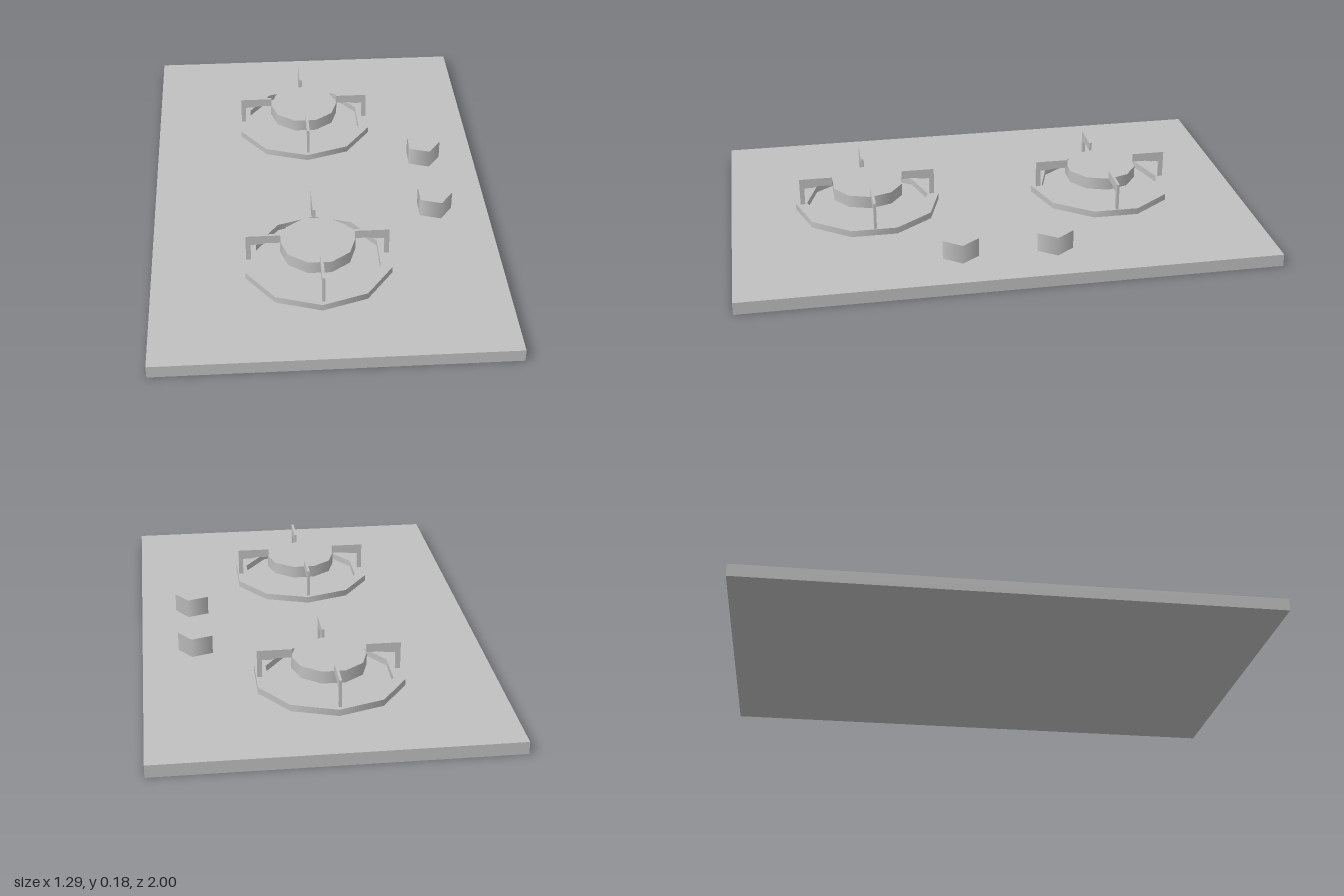
import * as THREE from 'three';

const greyMetal = new THREE.MeshStandardMaterial({ color: 0xc0c0c0 });
greyMetal.name = 'greyMetal';
const greyOpenMetal = new THREE.MeshStandardMaterial({ color: 0xc0c0c0, side: THREE.DoubleSide });
greyOpenMetal.name = 'greyOpenMetal';

const PLATE_TOP = 0.047;

function part(name, geometry, parent, x = 0, y = 0, z = 0, material = greyMetal) {
  const mesh = new THREE.Mesh(geometry, material);
  mesh.name = name;
  mesh.position.set(x, y, z);
  parent.add(mesh);
  return mesh;
}

// Bent pan support: upright leg with a horizontal arm reaching to the cap
function supportGeometry() {
  const shape = new THREE.Shape([
    [0.264, 0.069], [0.264, 0.178], [0.137, 0.178], [0.137, 0.145],
    [0.19, 0.145], [0.215, 0.14], [0.246, 0.14], [0.246, 0.069],
  ].map(([x, y]) => new THREE.Vector2(x, y)));
  return new THREE.ExtrudeGeometry(shape, { depth: 0.01, bevelEnabled: false });
}

function burner() {
  const group = new THREE.Group();
  const ringTop = 0.072, outer = 0.282, inner = 0.238;
  const h = ringTop - PLATE_TOP, mid = (ringTop + PLATE_TOP) / 2;

  // Ten-sided base ring
  part('ringOuterWall', new THREE.CylinderGeometry(outer, outer, h, 10, 1, true), group, 0, mid);
  part('ringInnerWall', new THREE.CylinderGeometry(inner, inner, h, 10, 1, true), group, 0, mid, 0, greyOpenMetal);
  const top = new THREE.RingGeometry(inner, outer, 10, 1, Math.PI / 2).rotateX(-Math.PI / 2);
  part('ringTop', top, group, 0, ringTop);

  // Flame cap
  const cap = new THREE.CylinderGeometry(0.139, 0.139, 0.048, 10).rotateY(Math.PI / 2);
  part('burnerCap', cap, group, 0, 0.121);

  // Four pan supports, each a little off the centre line
  const geometry = supportGeometry().translate(0, 0, -0.01);
  for (let i = 0; i < 4; i++) {
    part('panSupport', geometry, group).rotation.y = i * Math.PI / 2;
  }
  return group;
}

export function createModel() {
  const model = new THREE.Group();
  model.name = 'gasHob';

  part('hobPlate', new THREE.BoxGeometry(1.29, PLATE_TOP, 2), model, 0, PLATE_TOP / 2);

  for (const [name, z] of [['backBurner', -0.472], ['frontBurner', 0.468]]) {
    const b = burner();
    b.name = name;
    b.position.set(-0.033, 0, z);
    model.add(b);
  }

  // Five-sided control knobs
  const knob = new THREE.CylinderGeometry(0.071, 0.071, 0.073, 5).rotateY(Math.PI / 2);
  // the corner of each knob points to +x
  part('backKnob', knob, model, 0.437, PLATE_TOP + 0.0365, -0.18);
  part('frontKnob', knob, model, 0.437, PLATE_TOP + 0.0365, 0.173);
  return model;
}
